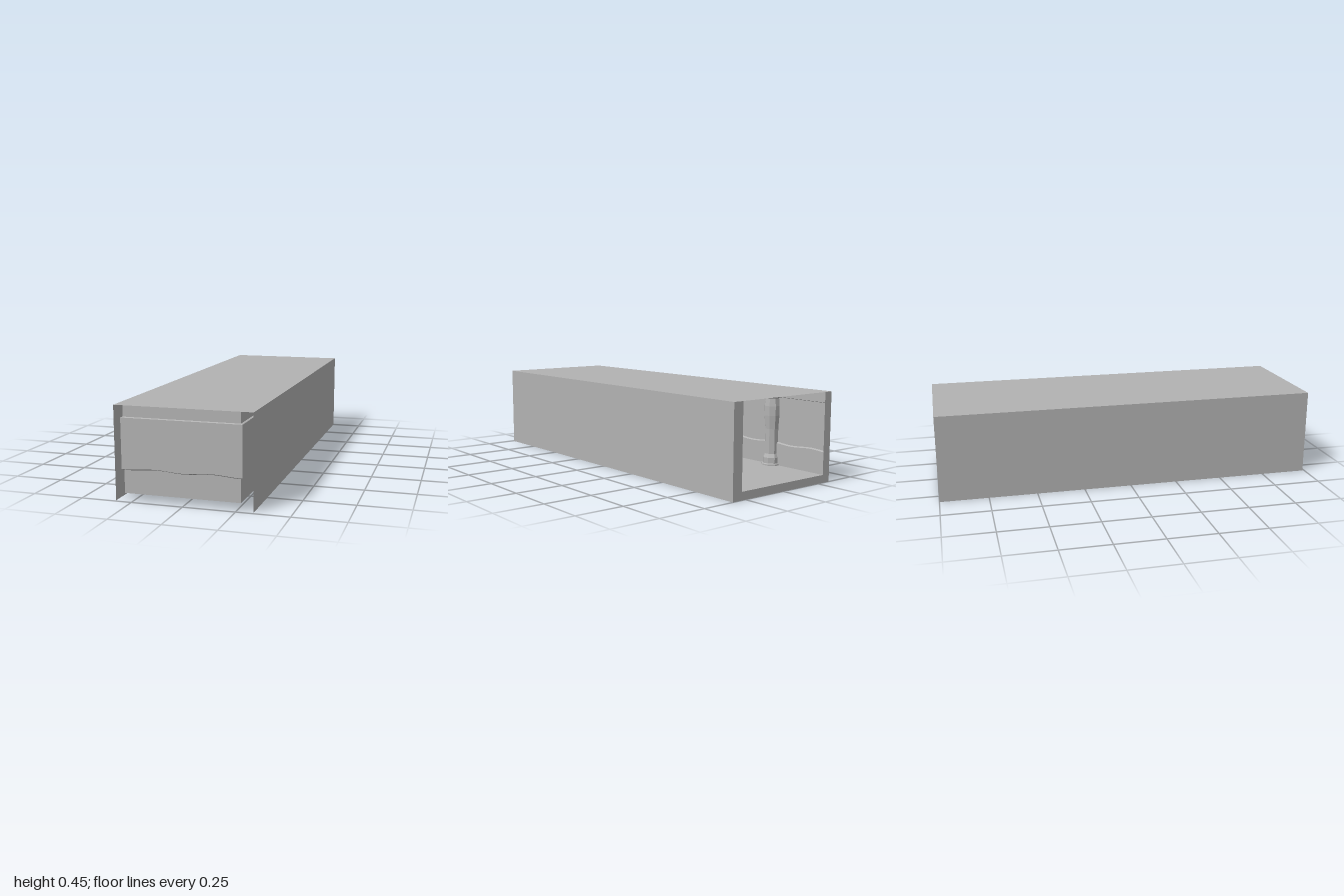
import * as THREE from 'three';

const grey = new THREE.MeshStandardMaterial({ color: 0xb2b2b2, side: THREE.DoubleSide });
grey.name = 'plain grey';

// Room sizes: floor level, ceiling, half width, wall recess and ends
const FLOOR = 0.04, TOP = 0.45, HALF = 0.279, RECESS = 0.009;
const BACK = -1, FRONT = 0.99, OUTER = 0.33, SHIFT = -0.005;

function mesh(name, geometry, parent) {
  const flat = geometry.index ? geometry.toNonIndexed() : geometry;
  flat.computeVertexNormals();
  const m = new THREE.Mesh(flat, grey);
  m.name = name;
  parent.add(m);
  return m;
}

// Surface through a grid of points given by point(row, column)
function grid(rows, cols, point) {
  const pos = [], index = [];
  for (let r = 0; r < rows; r++) {
    for (let c = 0; c < cols; c++) pos.push(...point(r, c));
  }
  for (let r = 0; r < rows - 1; r++) {
    for (let c = 0; c < cols - 1; c++) {
      const a = r * cols + c, b = a + cols;
      index.push(a, a + 1, b, a + 1, b + 1, b);
    }
  }
  const g = new THREE.BufferGeometry();
  g.setAttribute('position', new THREE.Float32BufferAttribute(pos, 3));
  g.setIndex(index);
  return g;
}

// Wall section: [height, depth, follows the wave]
const section = [
  [FLOOR, 0, 0], [0.15, 0, 1], [0.155, RECESS, 1],
  [0.395, RECESS, 0], [0.398, 0, 0], [TOP, 0, 0],
];
const wave = (s) => 0.004 - 0.004 * Math.cos((s - 0.01) * Math.PI * 2 / 0.265);

// Sheet across x (or z) at the given rectangle corners
function sheet(a, b, c, d) {
  return grid(2, 2, (r, k) => [[a, b], [c, d]][r][k]);
}

export function createModel() {
  const model = new THREE.Group();
  model.name = 'corridor';

  // Outer shell: two sides and the ceiling, open below and at the front
  for (const s of [-1, 1]) {
    const x = s * OUTER;
    const front = [x, 0, FRONT], back = [x, 0, BACK];
    const frontTop = [x, TOP, FRONT], backTop = [x, TOP, BACK];
    mesh(s > 0 ? 'leftOuterWall' : 'rightOuterWall',
      s > 0 ? sheet(front, back, frontTop, backTop) : sheet(back, front, backTop, frontTop), model);
  }
  mesh('ceiling', sheet([-OUTER, TOP, FRONT], [OUTER, TOP, FRONT],
    [-OUTER, TOP, BACK], [OUTER, TOP, BACK]), model);

  // Flat U-shaped frame around the open back end
  const frame = new THREE.Shape();
  const l = SHIFT - HALF, r = SHIFT + HALF;
  [[-OUTER, 0], [OUTER, 0], [OUTER, TOP], [r, TOP], [r, FLOOR], [l, FLOOR], [l, TOP], [-OUTER, TOP]]
    .forEach(([x, y], i) => (i ? frame.lineTo(x, y) : frame.moveTo(x, y)));
  const frameGeo = new THREE.ShapeGeometry(frame);
  frameGeo.rotateY(Math.PI);
  frameGeo.scale(-1, 1, 1);
  // restore outward winding after mirroring
  const idx = frameGeo.index;
  for (let i = 0; i < idx.count; i += 3) {
    const a = idx.getX(i);
    idx.setX(i, idx.getX(i + 1));
    idx.setX(i + 1, a);
  }
  mesh('backFrame', frameGeo, model).position.z = BACK;

  // Inner room
  const room = new THREE.Group();
  room.name = 'room';
  room.position.x = SHIFT;
  model.add(room);
  mesh('floor', sheet([-HALF, FLOOR, FRONT], [HALF, FLOOR, FRONT],
    [-HALF, FLOOR, BACK], [HALF, FLOOR, BACK]), room);

  // Front wall with wavy wainscot and recessed upper panel
  const N = 33;
  mesh('frontWall', grid(section.length, N, (row, c) => {
    const [y, depth, w] = section[row];
    const s = (c / (N - 1)) * 2 - 1;
    return [s * (HALF + depth), y + w * wave(s * HALF), FRONT + depth];
  }), room);

  // Side walls repeat the same section along the corridor
  const M = 97;
  for (const side of [-1, 1]) {
    mesh(side > 0 ? 'leftInnerWall' : 'rightInnerWall', grid(section.length, M, (row, c) => {
      const [y, depth, w] = section[row];
      const t = side > 0 ? 1 - c / (M - 1) : c / (M - 1);
      const z = BACK + t * (FRONT + depth - BACK);
      return [side * (HALF + depth), y + w * wave(z), z];
    }), room);
  }

  // Eight-sided columns half sunk into the side walls
  const profile = [
    [0, 0.04], [0.048, 0.04], [0.048, 0.047], [0.041, 0.05], [0.041, 0.08],
    [0.033, 0.1], [0.033, 0.23], [0.039, 0.3], [0.039, 0.35], [0.034, 0.39],
    [0.044, 0.4], [0.048, 0.449],
  ].map(([x, y]) => new THREE.Vector2(x / Math.cos(Math.PI / 8), y));
  for (const side of [-1, 1]) {
    for (const z of [-0.66, 0, 0.66]) {
      const g = new THREE.LatheGeometry(profile, 8, Math.PI / 8);
      mesh('column', g, room).position.set(side * 0.275, 0, z);
    }
  }

  // Small ceiling fitting near the open end
  mesh('ceilingFitting', new THREE.BoxGeometry(0.05, 0.03, 0.05), room).position.set(0, 0.434, -0.67);

  return model;
}
